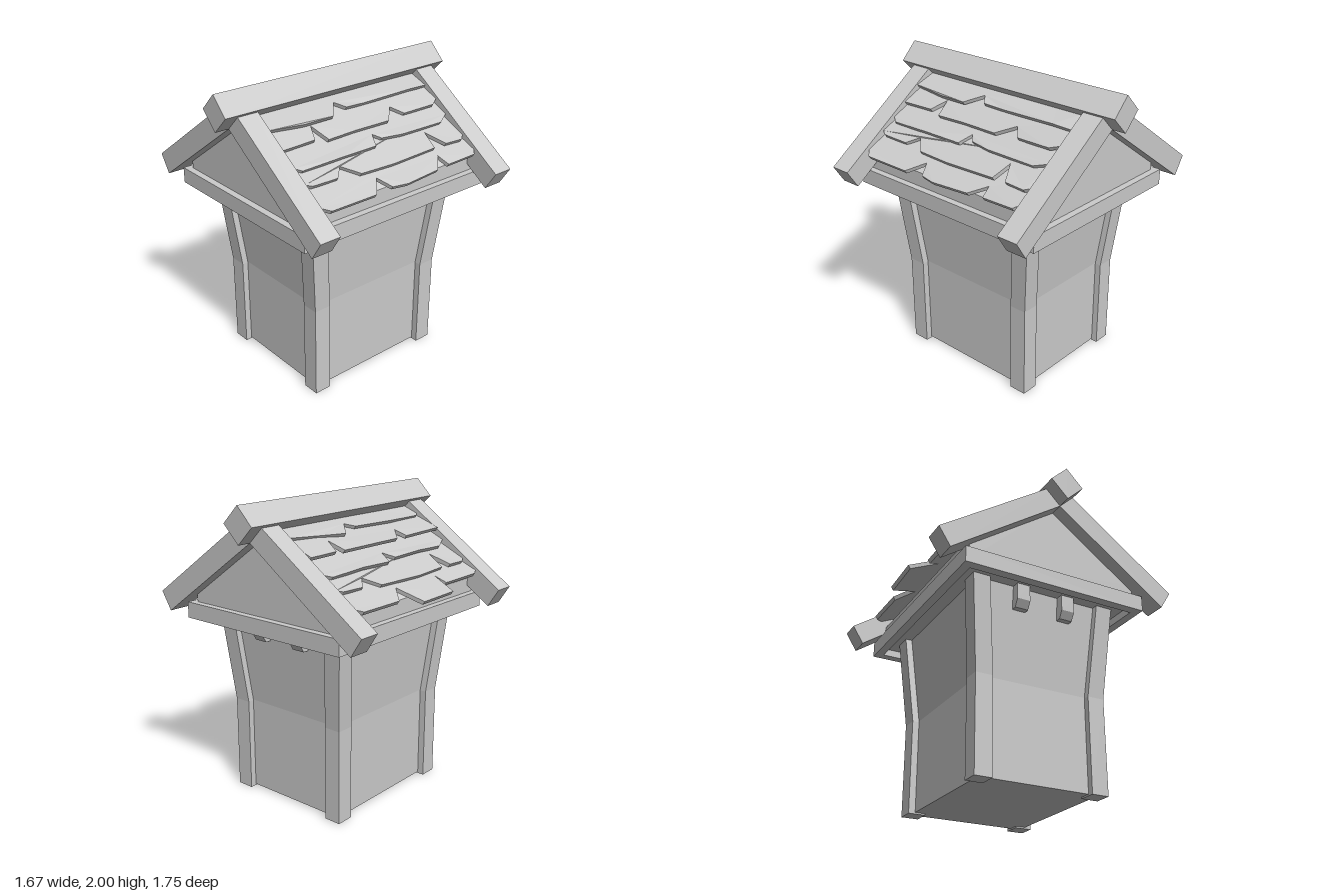
import * as THREE from 'three';

const material = new THREE.MeshStandardMaterial({ color: 0xcccccc, flatShading: true });
const PITCH = Math.atan(0.7), COS = Math.cos(PITCH), SIN = Math.sin(PITCH);
const APEX = 1.938; // height where the two roof planes meet

function add(parent, name, geometry) {
  const mesh = new THREE.Mesh(geometry, material);
  mesh.name = name;
  parent.add(mesh);
  return mesh;
}

const polygon = (points) => new THREE.Shape(points.map(([x, y]) => new THREE.Vector2(x, y)));
const extrude = (shape, depth) => new THREE.ExtrudeGeometry(shape, { depth, bevelEnabled: false });

// Box from y0 to 1.25 whose upper half leans outwards
function flaredBox(x0, x1, z0, z1, y0) {
  const height = 1.25 - y0;
  const geometry = new THREE.BoxGeometry(x1 - x0, height, z1 - z0, 1, 2, 1);
  geometry.translate((x0 + x1) / 2, y0 + height / 2, (z0 + z1) / 2);
  const p = geometry.attributes.position;
  for (let i = 0; i < p.count; i++) {
    const f = Math.max(0, (p.getY(i) - 0.635) / 0.565);
    p.setX(i, p.getX(i) + Math.sign(p.getX(i)) * 0.05 * f);
    p.setZ(i, p.getZ(i) + Math.sign(p.getZ(i)) * 0.058 * f);
  }
  geometry.computeVertexNormals();
  return geometry;
}

// Lower edge of each shingle row as [z, x] points, from the ridge down
const leftRows = [
  [[-0.64, 0.2], [-0.5, 0.2], [-0.1, 0.2], [0.05, 0.2], [0.1, 0.145], [0.19, 0.235], [0.4, 0.23], [0.64, 0.21]],
  [[-0.64, 0.3], [-0.58, 0.33], [-0.33, 0.325], [-0.27, 0.26], [-0.17, 0.345], [0.1, 0.34], [0.31, 0.345],
    [0.35, 0.235], [0.4, 0.325], [0.64, 0.33]],
  [[-0.64, 0.4], [-0.55, 0.44], [-0.2, 0.44], [-0.05, 0.42], [-0.01, 0.38], [0.03, 0.455], [0.3, 0.46], [0.6, 0.46], [0.64, 0.43]],
  [[-0.64, 0.55], [-0.6, 0.575], [-0.46, 0.57], [-0.39, 0.46], [-0.36, 0.57], [0, 0.58], [0.25, 0.57], [0.34, 0.49],
    [0.41, 0.55], [0.6, 0.55], [0.64, 0.53]],
  [[-0.64, 0.65], [-0.61, 0.68], [-0.38, 0.68], [-0.36, 0.61], [-0.27, 0.69], [0, 0.705], [0.11, 0.69], [0.16, 0.61],
    [0.25, 0.7], [0.59, 0.7], [0.64, 0.66]],
];
const rightRows = [
  [[-0.64, 0.18], [-0.4, 0.2], [-0.2, 0.235], [-0.1, 0.15], [-0.04, 0.19], [0.3, 0.2], [0.6, 0.2], [0.64, 0.18]],
  [[-0.64, 0.34], [-0.42, 0.34], [-0.36, 0.24], [-0.34, 0.34], [0, 0.345], [0.17, 0.345], [0.27, 0.265], [0.29, 0.335], [0.64, 0.335]],
  [[-0.64, 0.43], [-0.58, 0.465], [-0.3, 0.46], [-0.04, 0.46], [-0.01, 0.385], [0.05, 0.44], [0.3, 0.44], [0.54, 0.44], [0.64, 0.4]],
  [[-0.64, 0.54], [-0.6, 0.56], [-0.42, 0.56], [-0.35, 0.5], [-0.27, 0.58], [0.1, 0.59], [0.36, 0.58], [0.4, 0.465],
    [0.45, 0.58], [0.6, 0.58], [0.64, 0.56]],
  [[-0.64, 0.66], [-0.59, 0.7], [-0.26, 0.7], [-0.16, 0.61], [-0.11, 0.76], [0.19, 0.76], [0.245, 0.61],
    [0.265, 0.68], [0.6, 0.68], [0.64, 0.66]],
];

// One row: a ragged board laid on the slope, tilted up towards its lower edge
function shingleRow(edge, row) {
  const top = [0.06, 0.13, 0.28, 0.42, 0.57][row];
  const points = edge.map(([z, x]) => [z, x / COS]);
  const upper = [0.64, 0.36, 0.1, -0.17, -0.4, -0.64].map((z) => [z, top]);
  const geometry = extrude(polygon([...upper, ...points]), 0.027);
  const nominal = edge[2][1] / COS;
  const p = geometry.attributes.position;
  for (let i = 0; i < p.count; i++) {
    const z = p.getX(i), s = p.getY(i), d = p.getZ(i);
    const t = (s - top) / (nominal - top);
    const wave = 0.006 * Math.sin(z * 11 + row * 2.3) * Math.min(t, 1);
    const lift = s > 0.9 ? 0.014 : 0;
    const n = -0.09 + 0.05 * t + d + wave + lift;
    p.setXYZ(i, s * COS + n * SIN, APEX - s * SIN + n * COS, z);
  }
  geometry.computeVertexNormals();
  return geometry;
}

export function createModel() {
  const model = new THREE.Group();
  model.name = 'smallHut';

  // Walls and the four corner posts
  add(model, 'walls', flaredBox(-0.405, 0.405, -0.475, 0.475, 0.01));
  for (const sx of [-1, 1]) for (const sz of [-1, 1]) {
    const [x0, x1] = sx > 0 ? [0.335, 0.45] : [-0.45, -0.335];
    const [z0, z1] = sz > 0 ? [0.4, 0.517] : [-0.517, -0.4];
    add(model, 'cornerPost', flaredBox(x0, x1, z0, z1, 0));
  }

  // Chamfered beam ends under the eaves, front and back
  const beamEnd = extrude(polygon([[0.45, 1.25], [0.45, 1.095], [0.56, 1.095], [0.59, 1.145], [0.59, 1.25]]), 0.09);
  beamEnd.rotateY(-Math.PI / 2).translate(0.045, 0, 0);
  for (const turn of [0, Math.PI]) for (const x of [-0.16, 0.16]) {
    const beam = add(model, 'beamEnd', beamEnd);
    beam.rotation.y = turn;
    beam.position.x = x;
  }

  // Hollow frame around the top of the walls
  const ring = polygon([[-0.637, -0.74], [0.637, -0.74], [0.637, 0.74], [-0.637, 0.74]]);
  ring.holes.push(new THREE.Path([[-0.58, -0.68], [-0.58, 0.68], [0.58, 0.68], [0.58, -0.68]]
    .map(([x, y]) => new THREE.Vector2(x, y))));
  add(model, 'eavesFrame', extrude(ring, 0.105).rotateX(-Math.PI / 2).translate(0, 1.2, 0));

  // Gabled attic block carrying the roof
  const attic = polygon([[-0.592, 1.25], [0.592, 1.25], [0.592, 1.4], [0, 1.815], [-0.592, 1.4]]);
  add(model, 'attic', extrude(attic, 1.39).translate(0, 0, -0.695));

  // Sloping gable boards
  const chevron = polygon([[0, APEX], [-0.833, 1.355], [-0.757, 1.236], [0, 1.77], [0.757, 1.236], [0.833, 1.355]]);
  for (const z of [-0.785, 0.643]) add(model, 'gableBoards', extrude(chevron, 0.142).translate(0, 0, z));

  // Ridge beam set on its edge
  const ridge = new THREE.BoxGeometry(0.163, 0.163, 1.755).rotateZ(Math.PI / 4);
  add(model, 'ridgeBeam', ridge).position.y = 1.885;

  // Shingles: the right slope is the same construction turned half round
  leftRows.forEach((edge, row) => add(model, 'leftShingles', shingleRow(edge, row)));
  rightRows.forEach((edge, row) => {
    const turned = edge.map(([z, x]) => [-z, x]).reverse();
    add(model, 'rightShingles', shingleRow(turned, row)).rotation.y = Math.PI;
  });
  return model;
}
